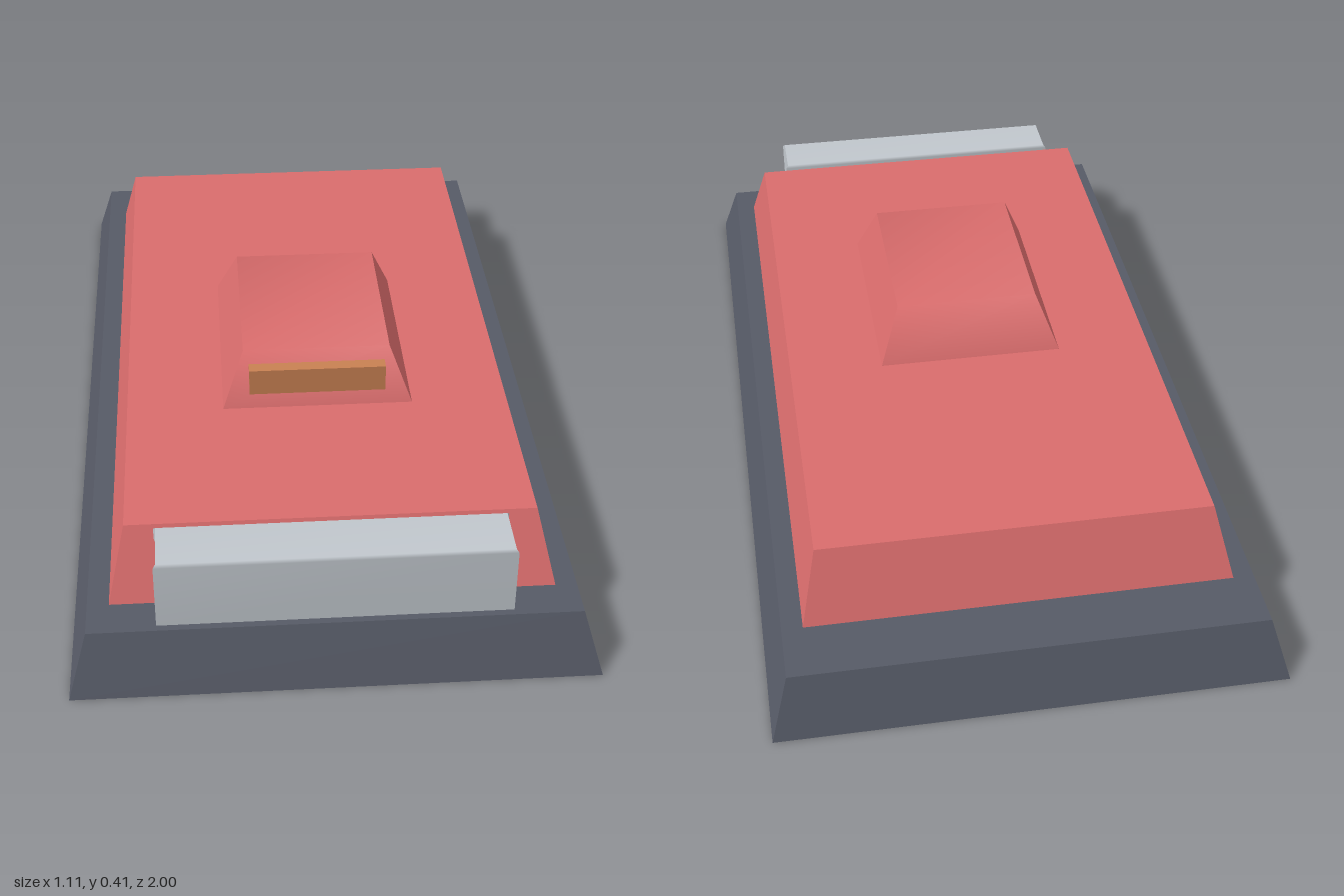
import * as THREE from 'three';

const mat = (name, color) => Object.assign(new THREE.MeshStandardMaterial({ color }), { name });

// Solid from a side profile of [z, y, halfWidth] points, running back to front.
// smooth: normals blend along the profile; ends and underside stay separate.
function profileSolid(profile, smooth) {
  const n = profile.length, pos = [], idx = [];
  const right = ([z, y, w]) => pos.push(-w, y, z);
  const left = ([z, y, w]) => pos.push(w, y, z);
  // outer skin: back, top, front
  profile.forEach(p => { right(p); left(p); });
  for (let i = 0; i < n - 1; i++) {
    const a = 2 * i;
    idx.push(a, a + 2, a + 1, a + 1, a + 2, a + 3);
  }
  // two ends
  const r = 2 * n, l = 3 * n;
  profile.forEach(right);
  profile.forEach(left);
  for (let i = 1; i < n - 1; i++) {
    idx.push(r, r + i + 1, r + i, l, l + i, l + i + 1);
  }
  // underside
  const b = 4 * n;
  [profile[0], profile[n - 1]].forEach(p => { right(p); left(p); });
  idx.push(b, b + 1, b + 2, b + 1, b + 3, b + 2);

  let geo = new THREE.BufferGeometry();
  geo.setAttribute('position', new THREE.Float32BufferAttribute(pos, 3));
  geo.setIndex(idx);
  if (!smooth) geo = geo.toNonIndexed();
  geo.computeVertexNormals();
  return geo;
}

export function createModel() {
  const group = new THREE.Group();
  const slate = mat('slate', 0x565a66);
  const red = mat('red', 0xd96c6c);
  const silver = mat('silver', 0xc0c6cc);
  const amber = mat('amber', 0xc88052);

  const add = (name, geo, material) => {
    const mesh = new THREE.Mesh(geo, material);
    mesh.name = name;
    group.add(mesh);
    return mesh;
  };

  // Sloped base slab
  add('base', profileSolid([
    [-1, 0, 0.557], [-0.95, 0.136, 0.517], [0.95, 0.136, 0.517], [1, 0, 0.557],
  ], false), slate);

  // Main tapered body
  add('body', profileSolid([
    [-0.815, 0.136, 0.471], [-0.745, 0.29, 0.434], [0.795, 0.29, 0.434], [0.865, 0.136, 0.471],
  ], false), red);

  // Raised cabin, shaded smoothly from back to front
  add('cabin', profileSolid([
    [-0.14, 0.29, 0.216], [-0.075, 0.413, 0.167], [0.343, 0.413, 0.167], [0.395, 0.29, 0.216],
  ], true), red);

  // Front bar with softened top edges
  add('frontBar', profileSolid([
    [0.808, 0.12, 0.372], [0.808, 0.289, 0.372], [0.814, 0.295, 0.367],
    [0.929, 0.295, 0.367], [0.935, 0.289, 0.372], [0.935, 0.12, 0.372],
  ], true), silver);

  // Lamp block set into the cabin front
  add('lamp', new THREE.BoxGeometry(0.31, 0.063, 0.08), amber).position.set(0, 0.352, 0.345);

  return group;
}
